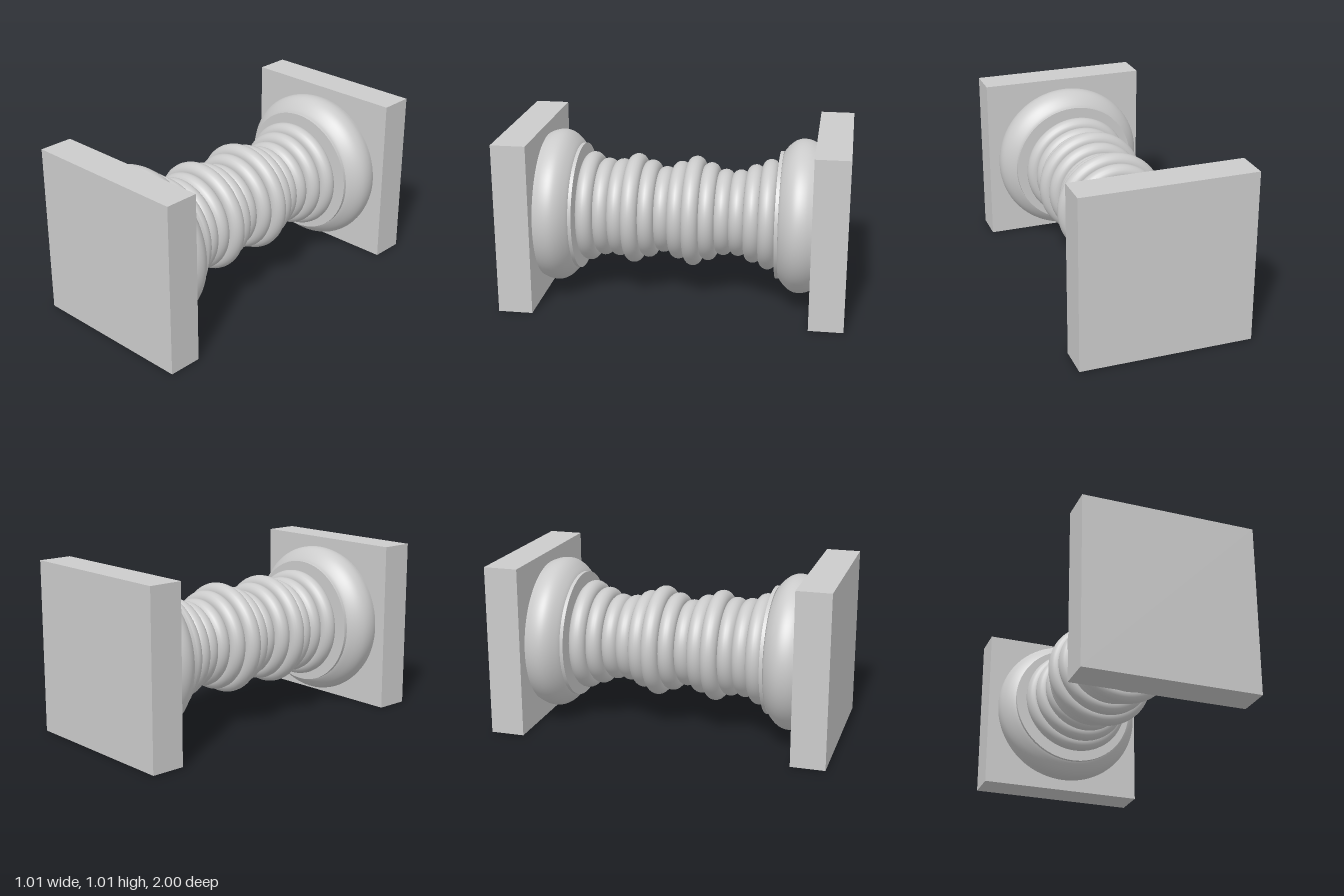
import * as THREE from 'three';

const CENTRE_Y = 0.505;

export function createModel() {
  const model = new THREE.Group();
  const material = new THREE.MeshStandardMaterial({ color: 0xcccccc });

  // Adds a mesh on the horizontal axis of the column
  const add = (name, geometry, z = 0) => {
    const mesh = new THREE.Mesh(geometry, material);
    mesh.name = name;
    mesh.position.set(0, CENTRE_Y, z);
    model.add(mesh);
    return mesh;
  };

  // Cushion profile: radius against distance from the middle of the column
  const cushionCurve = new THREE.SplineCurve([
    [0.33, 0.6], [0.375, 0.607], [0.42, 0.642], [0.447, 0.68],
    [0.456, 0.718], [0.451, 0.76], [0.435, 0.8],
  ].map(([r, d]) => new THREE.Vector2(r, d)));
  const cushion = new THREE.LatheGeometry(cushionCurve.getPoints(28), 80).rotateX(Math.PI / 2);
  const collar = new THREE.CylinderGeometry(0.378, 0.378, 0.02, 80).rotateX(Math.PI / 2);
  const plate = new THREE.BoxGeometry(1.008, 1.01, 0.2);

  // Matching square plate, cushion and collar at each end
  for (const [side, sign] of [['front', 1], ['back', -1]]) {
    add(side + 'Plate', plate, sign * 0.9);
    add(side + 'Cushion', cushion).rotation.y = sign > 0 ? 0 : Math.PI;
    add(side + 'Collar', collar, sign * 0.595);
  }

  // Inner shaft closing the column behind the rings
  add('shaft', new THREE.CylinderGeometry(0.22, 0.22, 1.2, 48).rotateX(Math.PI / 2));

  // Stacked rings of varying outer radius, from front to back
  const L = 0.328, M = 0.293, S = 0.258, tube = 0.05;
  [L, M, M, L, M, S, M, L, M, S, S, M, L].forEach((radius, i) => {
    add('ring' + (i + 1), new THREE.TorusGeometry(radius - tube, tube, 20, 80), 0.533 - i * 0.0888);
  });

  return model;
}
